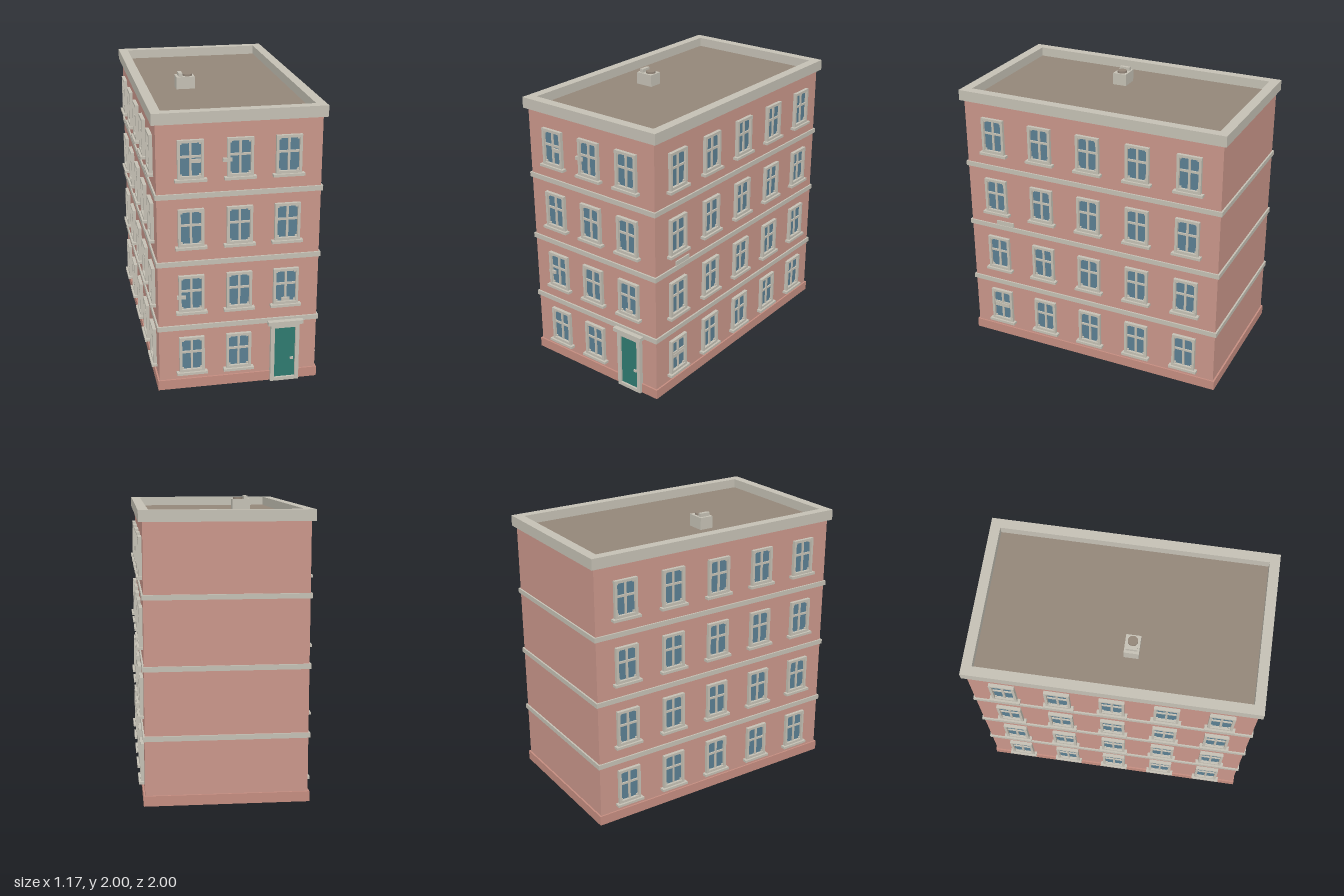
import * as THREE from 'three';

const mat = (name, color) => new THREE.MeshStandardMaterial({ name, color });

export function createModel() {
  const brick = mat('brick', 0xc9968a);
  const plinthBrick = mat('plinthBrick', 0xc48d80);
  const trim = mat('trim', 0xc4c0b4);
  const glass = mat('glass', 0x5b7f92);
  const roofing = mat('roofing', 0x938679);
  const doorPaint = mat('doorPaint', 0x2f7a70);

  const CZ = -0.01; // depth centre of the body
  const HW = 0.545, HD = 0.963; // half width and half depth of the walls
  const model = new THREE.Group();
  model.name = 'townhouse';

  // Box given by its min and max corners
  function box(parent, name, m, x0, x1, y0, y1, z0, z1) {
    const mesh = new THREE.Mesh(new THREE.BoxGeometry(x1 - x0, y1 - y0, z1 - z0), m);
    mesh.position.set((x0 + x1) / 2, (y0 + y1) / 2, (z0 + z1) / 2);
    mesh.name = name;
    parent.add(mesh);
    return mesh;
  }
  // Rectangular slab around the whole building
  const ring = (name, m, hw, hd, y0, y1) => box(model, name, m, -hw, hw, y0, y1, CZ - hd, CZ + hd);

  const rectPath = (path, x0, x1, y0, y1) => {
    path.moveTo(x0, y0).lineTo(x1, y0).lineTo(x1, y1).lineTo(x0, y1).closePath();
    return path;
  };
  // Flat frame with a rectangular opening, extruded along +z
  function frameGeometry(outer, inner, depth) {
    const shape = rectPath(new THREE.Shape(), ...outer);
    shape.holes.push(rectPath(new THREE.Path(), ...inner));
    return new THREE.ExtrudeGeometry(shape, { depth, bevelEnabled: false });
  }

  // Walls, plinth and floor bands
  ring('walls', brick, HW, HD, 0.01, 1.885);
  ring('plinth', plinthBrick, HW + 0.011, HD + 0.012, 0, 0.07);
  for (const y of [0.442, 0.909, 1.379]) ring('floorBand', trim, HW + 0.011, HD + 0.012, y, y + 0.034);

  // Parapet and sunken roof
  const parapet = new THREE.Mesh(
    frameGeometry([-0.572, 0.572, -0.987, 0.987], [-0.505, 0.505, -0.918, 0.918], 0.075), trim);
  parapet.rotation.x = -Math.PI / 2;
  parapet.position.set(0, 1.88, CZ);
  parapet.name = 'parapet';
  model.add(parapet);
  ring('roof', roofing, 0.51, 0.922, 1.87, 1.89);

  // Roof unit with fan and vent
  const unit = new THREE.Group();
  unit.name = 'roofUnit';
  model.add(unit);
  box(unit, 'unitBody', trim, -0.28, -0.15, 1.885, 1.975, 0.03, 0.13);
  box(unit, 'unitVent', trim, -0.262, -0.236, 1.975, 2.0, 0.042, 0.118);
  const fan = new THREE.Mesh(new THREE.CylinderGeometry(0.034, 0.034, 0.014, 20), roofing);
  fan.position.set(-0.195, 1.982, 0.08);
  fan.name = 'unitFan';
  unit.add(fan);

  // Window: origin at the bottom centre of the sill, facing +z
  const windowFrame = frameGeometry([-0.086, 0.086, 0.016, 0.276], [-0.068, 0.068, 0.036, 0.258], 0.024);
  function makeWindow() {
    const g = new THREE.Group();
    g.name = 'window';
    const f = new THREE.Mesh(windowFrame, trim);
    f.name = 'windowFrame';
    g.add(f);
    box(g, 'pane', glass, -0.07, 0.07, 0.034, 0.26, 0, 0.005);
    box(g, 'sill', trim, -0.105, 0.105, 0, 0.018, 0, 0.038);
    box(g, 'mullion', trim, -0.0075, 0.0075, 0.034, 0.26, 0.002, 0.014);
    box(g, 'transom', trim, -0.07, 0.07, 0.157, 0.172, 0.002, 0.014);
    for (const x of [-0.062, 0.062])
      for (const y of [0.042, 0.252]) box(g, 'cornerBlock', trim, x - 0.007, x + 0.007, y - 0.007, y + 0.007, 0.002, 0.014);
    return g;
  }
  [0.111, 0.565, 1.032, 1.497].forEach((y, floor) => {
    // Front, where the door takes the place of one ground floor window
    for (const x of [-0.323, 0, 0.32]) {
      if (floor === 0 && x > 0.1) continue;
      const w = makeWindow();
      w.position.set(x, y, CZ + HD);
      model.add(w);
    }
    // Both long sides
    for (const side of [-1, 1])
      for (let i = -2; i <= 2; i++) {
        const w = makeWindow();
        w.position.set(side * HW, y, CZ + i * 0.369);
        w.rotation.y = side * Math.PI / 2;
        model.add(w);
      }
  });

  // Front door with surround, hood and handle
  const FZ = CZ + HD;
  const door = new THREE.Group();
  door.name = 'frontDoor';
  model.add(door);
  const surround = new THREE.Mesh(
    frameGeometry([0.222, 0.422, 0, 0.435], [0.249, 0.395, 0.025, 0.405], 0.032), trim);
  surround.position.z = FZ;
  surround.name = 'doorSurround';
  door.add(surround);
  box(door, 'doorLeaf', doorPaint, 0.245, 0.399, 0.02, 0.41, FZ, FZ + 0.017);
  box(door, 'doorHood', trim, 0.2, 0.444, 0.432, 0.459, FZ, 1.0);
  box(door, 'doorHandle', trim, 0.362, 0.384, 0.155, 0.171, FZ + 0.01, FZ + 0.027);

  // Small fittings on the front and side walls
  for (const [x, y, w] of [[-0.288, 1.632, 0.066], [-0.083, 1.627, 0.06], [-0.39, 0.685, 0.06], [0.32, 0.615, 0.055]])
    box(model, 'wallFitting', trim, x - w / 2, x + w / 2, y - 0.012, y + 0.012, FZ, FZ + 0.018);
  box(model, 'sideFitting', trim, HW, HW + 0.018, 0.243, 0.27, 0.67, 0.79);
  box(model, 'sideLedge', trim, HW, HW + 0.009, 0.945, 0.977, 0.6, 0.74);

  return model;
}
